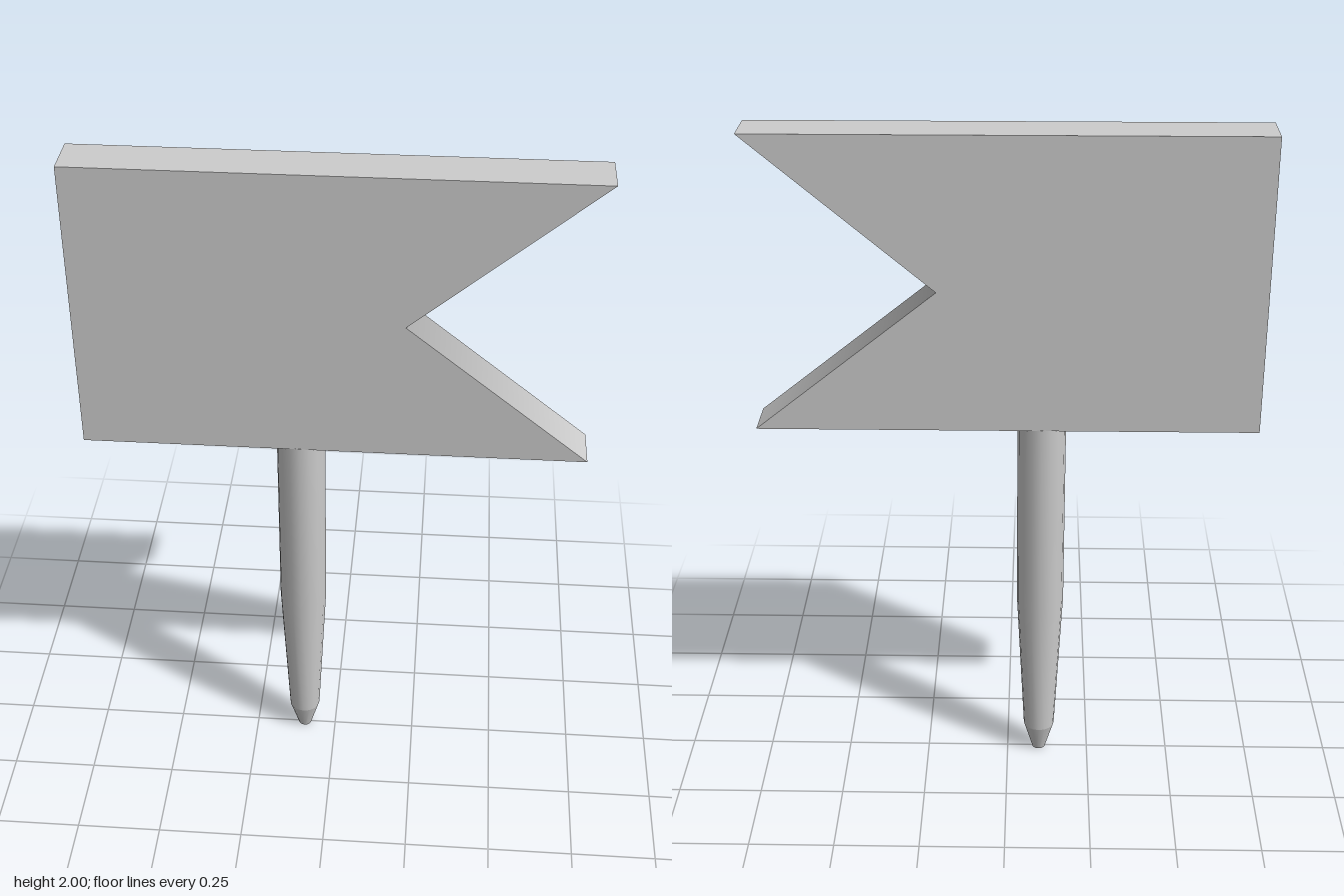
import * as THREE from 'three';

const material = new THREE.MeshStandardMaterial({ color: 0xcccccc });
const POLE_X = -0.098, SIDES = 16;

function addMesh(group, name, geometry, x, y) {
  const mesh = new THREE.Mesh(geometry, material);
  mesh.name = name;
  mesh.position.set(x, y, 0);
  group.add(mesh);
}

export function createModel() {
  const model = new THREE.Group();
  model.name = 'flagSign';

  // Swallowtail board with a V notch cut from its +x end
  const depth = 0.135, notchX = 0.195, notchY = 1.56;
  const outline = new THREE.Shape([
    [-0.715, 1.143], [0.715, 1.143], [notchX, notchY], [0.715, 2], [-0.715, 2],
  ].map(([x, y]) => new THREE.Vector2(x, y)));
  const board = new THREE.ExtrudeGeometry(outline, { depth, bevelEnabled: false });
  board.translate(0, 0, -depth / 2);

  // Soften the shading across the inner corner of the notch
  const { position, normal } = board.attributes;
  for (let i = 0; i < position.count; i++) {
    const atNotch = Math.abs(position.getX(i) - notchX) < 1e-4 && Math.abs(position.getY(i) - notchY) < 1e-4;
    if (atNotch && Math.abs(normal.getZ(i)) < 0.5) normal.setXYZ(i, 1, 0, 0);
  }
  addMesh(model, 'board', board, 0, 0);

  // Round stake: straight shaft that tapers towards the ground
  const shaft = [[0.047, 0.09], [0.07, 0.55], [0.07, 1.145]].map(([r, y]) => new THREE.Vector2(r, y));
  addMesh(model, 'stake', new THREE.LatheGeometry(shaft, SIDES), POLE_X, 0);

  // Closing disc at the head of the stake
  const head = new THREE.CircleGeometry(0.07, SIDES).rotateX(-Math.PI / 2);
  addMesh(model, 'stakeHead', head, POLE_X, 1.145);

  // Blunt pointed tip
  addMesh(model, 'stakeTip', new THREE.CylinderGeometry(0.047, 0.02, 0.09, SIDES), POLE_X, 0.045);

  return model;
}
